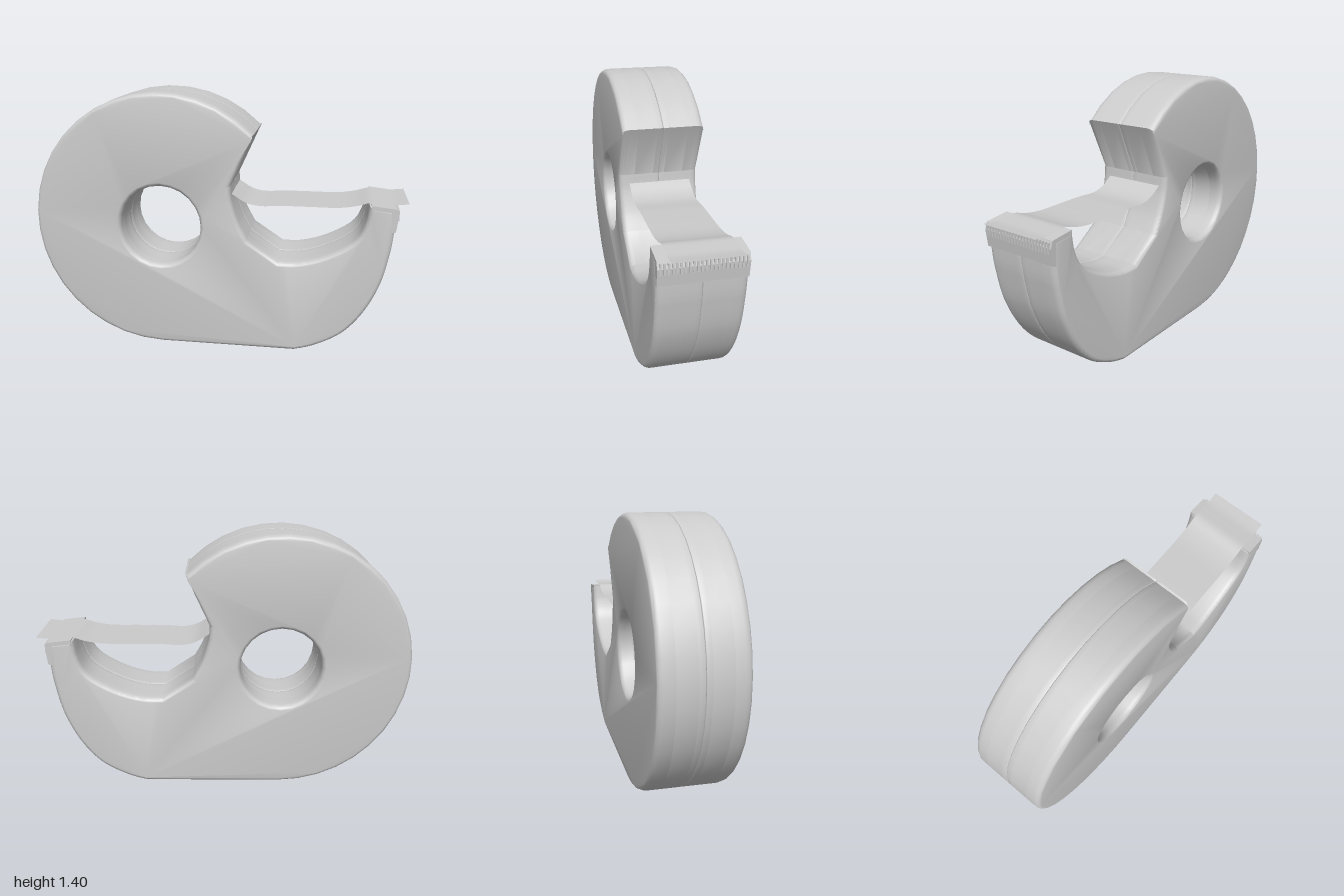
import * as THREE from 'three';
import { toCreasedNormals } from 'three/addons/utils/BufferGeometryUtils.js';

const grey = new THREE.MeshStandardMaterial({ color: 0xcccccc });
const greyThin = new THREE.MeshStandardMaterial({ color: 0xcccccc, side: THREE.DoubleSide });
const pts = (list) => list.map(([x, y]) => new THREE.Vector2(x, y));

// Side profile of the housing; an optional pocket [x0, x1, height] is cut into the base.
function housingShape(pocket) {
  const s = new THREE.Shape();
  s.moveTo(0.44, 0.005);
  s.splineThru(pts([[0.55, 0.04], [0.69, 0.12], [0.8, 0.25], [0.88, 0.42], [0.92, 0.6], [0.932, 0.71]]));
  s.lineTo(0.925, 0.832);
  s.lineTo(0.8, 0.845);
  s.splineThru(pts([[0.785, 0.75], [0.75, 0.67], [0.68, 0.61], [0.56, 0.55], [0.44, 0.518], [0.34, 0.515]]));
  s.lineTo(0.175, 0.625);
  s.splineThru(pts([[0.125, 0.72], [0.09, 0.83], [0.08, 0.92]]));
  s.lineTo(0.205, 1.2);
  s.absarc(-0.3, 0.7, 0.7, Math.PI / 4, Math.PI * 1.5, false);
  if (pocket) {
    const [x0, x1, h] = pocket;
    s.lineTo(x0, 0.002);
    s.lineTo(x0 + 0.03, h);
    s.lineTo(x1 - 0.03, h);
    s.lineTo(x1, 0.004);
  }
  s.closePath();
  const hole = new THREE.Path();
  hole.absarc(-0.3, 0.685, 0.22, 0, Math.PI * 2, true);
  s.holes.push(hole);
  return s;
}

// Slab of the housing between z0 and z1, rounded only on its low (-1) or high (1) z side.
function slab(name, shape, z0, z1, side = 0, size = 0, thick = 0) {
  const geo = new THREE.ExtrudeGeometry(shape, {
    depth: z1 - z0 - thick, curveSegments: 12, bevelEnabled: side !== 0,
    bevelSize: size, bevelOffset: -size, bevelThickness: thick, bevelSegments: 4,
  });
  geo.translate(0, 0, side < 0 ? z0 + thick : z0);
  const p = geo.attributes.position;
  for (let i = 0; i < p.count; i++) p.setZ(i, THREE.MathUtils.clamp(p.getZ(i), z0, z1));
  const mesh = new THREE.Mesh(toCreasedNormals(geo, 0.6), grey);
  mesh.name = name;
  return mesh;
}

// One half shell: seam edge, pocketed middle and rounded outer wall.
function housingHalf(s) {
  const half = new THREE.Group();
  half.name = s > 0 ? 'frontHousing' : 'backHousing';
  const add = (name, shape, a, b, ...bevel) =>
    half.add(slab(name, shape, Math.min(a * s, b * s), Math.max(a * s, b * s), ...bevel));
  add('seamEdge', housingShape(), 0, 0.03, -s, 0.005, 0.004);
  add('pocketLayer', housingShape([-0.2, 0.1, 0.06]), 0.03, 0.13);
  add('outerWall', housingShape(), 0.13, 0.212, s, 0.022, 0.035);
  return half;
}

// Bent cutter plate over the tip of the arm, with a row of teeth.
function cutter() {
  const g = new THREE.Group();
  g.name = 'cutter';
  const profile = new THREE.Shape(pts([
    [0.89, 0.705], [0.937, 0.715], [0.947, 0.8], [0.935, 0.836], [0.81, 0.85], [0.81, 0.82], [0.9, 0.815],
  ]));
  const plateGeo = new THREE.ExtrudeGeometry(profile, { depth: 0.42, bevelEnabled: false });
  plateGeo.translate(0, 0, -0.21);
  const plate = new THREE.Mesh(plateGeo, grey);
  plate.name = 'cutterPlate';
  g.add(plate);
  const toothGeo = new THREE.BoxGeometry(0.014, 0.055, 0.009);
  const count = 22;
  for (let i = 0; i < count; i++) {
    const tooth = new THREE.Mesh(toothGeo, grey);
    tooth.name = 'tooth';
    tooth.position.set(0.943, 0.8, -0.195 + (0.39 * i) / (count - 1));
    g.add(tooth);
  }
  return g;
}

// Loose tape strip: a plane bent along a sagging curve.
function tape() {
  const curve = new THREE.CatmullRomCurve3([
    [0.06, 0.885], [0.1, 0.86], [0.16, 0.825], [0.23, 0.81], [0.35, 0.816], [0.5, 0.817], [0.65, 0.819],
    [0.74, 0.833], [0.81, 0.853], [0.87, 0.85], [0.93, 0.846], [1, 0.853],
  ].map(([x, y]) => new THREE.Vector3(x, y, 0)));
  const geo = new THREE.PlaneGeometry(1, 0.33, 40, 1).rotateX(-Math.PI / 2);
  const p = geo.attributes.position;
  for (let i = 0; i < p.count; i++) {
    const c = curve.getPoint(THREE.MathUtils.clamp(p.getX(i) + 0.5, 0, 1));
    p.setXYZ(i, c.x, c.y, p.getZ(i) - 0.006);
  }
  geo.computeVertexNormals();
  const mesh = new THREE.Mesh(geo, greyThin);
  mesh.name = 'tapeStrip';
  return mesh;
}

export function createModel() {
  const model = new THREE.Group();
  model.name = 'tapeDispenser';
  model.add(housingHalf(1), housingHalf(-1), cutter(), tape());
  return model;
}
